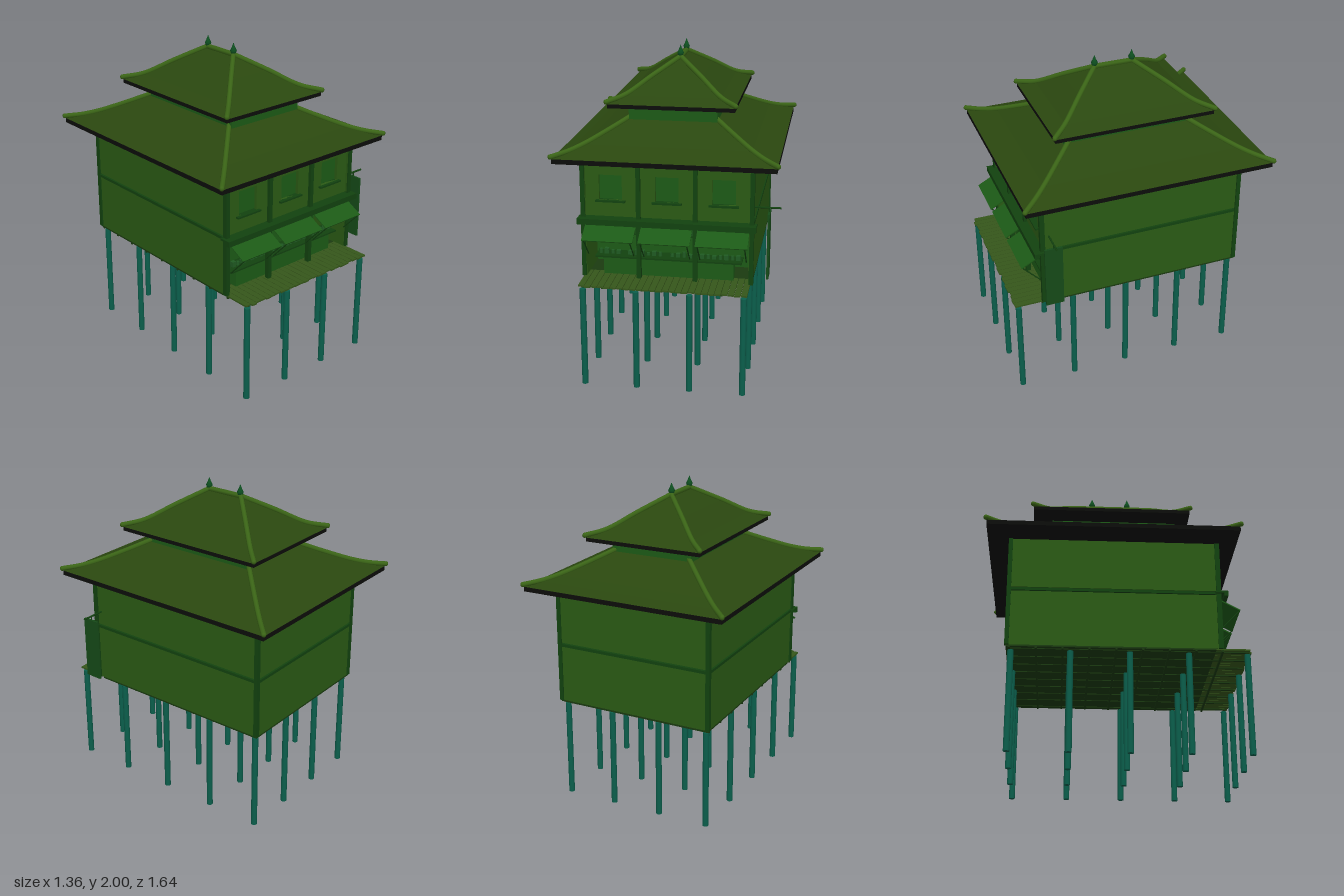
import * as THREE from 'three';

const mat = (color, side = THREE.FrontSide) => new THREE.MeshStandardMaterial({ color, side });
const M = {
  wall: mat(0x2a5a14), panel: mat(0x1c5a16), trim: mat(0x12420f), roof: mat(0x2a470f),
  eave: mat(0x0c0d0a), ridge: mat(0x3a6416), finial: mat(0x0e5020), post: mat(0x0b5f4c),
  floor: mat(0x1a3a10), plank: mat(0x35561a), goods: mat(0x1f5a22), board: mat(0x154a18),
};

function add(parent, name, geo, material, x = 0, y = 0, z = 0) {
  const m = new THREE.Mesh(geo, material);
  m.name = name;
  m.position.set(x, y, z);
  parent.add(m);
  return m;
}

// Box given by its two extents on every axis
function box(parent, name, material, [x0, x1], [y0, y1], [z0, z1]) {
  return add(parent, name, new THREE.BoxGeometry(x1 - x0, y1 - y0, z1 - z0), material,
    (x0 + x1) / 2, (y0 + y1) / 2, (z0 + z1) / 2);
}

// Straight round rod between two points
function rod(parent, name, material, a, b, r) {
  const curve = new THREE.LineCurve3(new THREE.Vector3(...a), new THREE.Vector3(...b));
  return add(parent, name, new THREE.TubeGeometry(curve, 1, r, 6), material);
}

function seeded(s) {
  return () => (s = (s * 16807) % 2147483647) / 2147483647;
}

// Every roof ring is a rectangle; its depth follows from its half width
const ZC = -0.02, EXTRA = 0.122;
const corner = (w, y, sx, sz) => new THREE.Vector3(sx * w, y, ZC + sz * (w + EXTRA));
const SIGNS = [[1, 1], [1, -1], [-1, -1], [-1, 1]];

// Hip roof surface lofted through [half width, height] rings
function hipSurface(profile) {
  const pos = [];
  const ring = ([w, y]) => SIGNS.map(([sx, sz]) => corner(w, y, sx, sz));
  const quad = (a, b, c, d) => [a, b, c, a, c, d].forEach(p => pos.push(p.x, p.y, p.z));
  for (let i = 0; i < profile.length - 1; i++) {
    const lo = ring(profile[i]), hi = ring(profile[i + 1]);
    for (let k = 0; k < 4; k++) {
      const n = (k + 1) % 4;
      quad(lo[k], lo[n], hi[n], hi[k]);
    }
  }
  quad(...ring(profile[profile.length - 1]));
  const g = new THREE.BufferGeometry();
  g.setAttribute('position', new THREE.Float32BufferAttribute(pos, 3));
  g.computeVertexNormals();
  return g;
}

function hipRoof(parent, name, profile, eaveBottom) {
  const g = new THREE.Group();
  g.name = name;
  parent.add(g);
  const [w, y] = profile[0], d = w + EXTRA;
  add(g, name + 'Surface', hipSurface(profile), M.roof);
  box(g, name + 'Eave', M.eave, [-w, w], [eaveBottom, y - 0.001], [ZC - d, ZC + d]);
  // Rounded hip ridges with lifted tips
  for (const [sx, sz] of SIGNS) {
    const pts = profile.map(([pw, py], i) => corner(pw + (i ? 0 : 0.004), py + (i ? 0.005 : 0.015), sx, sz));
    add(g, 'hipRidge', new THREE.TubeGeometry(new THREE.CatmullRomCurve3(pts), 20, 0.016, 8), M.ridge);
    const tip = add(g, 'hipTip', new THREE.SphereGeometry(0.016, 8, 6), M.ridge);
    tip.position.copy(pts[0]);
  }
  return g;
}

export function createModel() {
  const root = new THREE.Group();
  root.name = 'stiltShop';
  const F = 0.635, B = -0.66, W = 0.515;

  // Stilts
  const stilts = new THREE.Group();
  stilts.name = 'stilts';
  root.add(stilts);
  for (const x of [-0.488, -0.164, 0.161, 0.485])
    for (const z of [0.79, 0.437, 0.082, -0.275, -0.63])
      add(stilts, 'stilt', new THREE.CylinderGeometry(0.019, 0.019, 0.63, 10), M.post, x, 0.315, z);

  // Floor, joists and front deck
  box(root, 'floor', M.floor, [-W, W], [0.645, 0.655], [B, 0.6]);
  for (let i = 0; i < 9; i++) {
    const z = -0.64 + i * 0.16;
    box(root, 'crossJoist', M.floor, [-0.515, 0.505], [0.636, 0.647], [z - 0.006, z + 0.006]);
  }
  for (let i = 0; i < 9; i++) {
    const x = -0.485 + i * 0.12;
    box(root, 'longJoist', M.floor, [x - 0.006, x + 0.006], [0.64, 0.647], [-0.65, 0.8]);
  }
  const rnd = seeded(7);
  for (let i = 0; i < 26; i++) {
    const x = -0.512 + i * 0.0393;
    box(root, 'deckPlank', M.plank, [x, x + 0.036], [0.647, 0.657], [0.55, 0.805 + rnd() * 0.015]);
  }

  // Lower storey: side, rear and recessed walls
  for (const s of [-1, 1]) {
    const side = [s * 0.505 - 0.01, s * 0.505 + 0.01];
    box(root, 'lowerSideWall', M.wall, side, [0.655, 1.015], [B, F]);
    box(root, 'upperSideWall', M.wall, side, [1.042, 1.375], [B, F]);
    box(root, 'sideLedge', M.trim, [s * 0.507 - 0.014, s * 0.507 + 0.014], [1.018, 1.036], [B - 0.005, F]);
  }
  box(root, 'lowerRearWall', M.wall, [-W, W], [0.655, 1.015], [B, B + 0.02]);
  box(root, 'upperRearWall', M.wall, [-W, W], [1.042, 1.375], [B, B + 0.02]);
  box(root, 'rearLedge', M.trim, [-0.52, 0.52], [1.018, 1.036], [B - 0.006, B + 0.02]);
  box(root, 'shopBackWall', M.panel, [-0.5, 0.5], [0.655, 1.015], [0.34, 0.36]);
  box(root, 'upperFloor', M.trim, [-0.5, 0.5], [1.01, 1.03], [B, F]);
  box(root, 'ceiling', M.eave, [-0.5, 0.5], [1.36, 1.372], [B + 0.01, 0.6]);

  // Corner posts and front columns
  for (const x of [-0.511, -0.172, 0.172, 0.511])
    box(root, 'frontColumn', M.trim, [x - 0.013, x + 0.013], [0.655, 1.375], [0.615, 0.645]);
  for (const x of [-0.511, 0.511])
    box(root, 'rearPost', M.trim, [x - 0.013, x + 0.013], [0.655, 1.375], [-0.668, -0.642]);

  // Projecting beam between the storeys
  box(root, 'frontBeam', M.trim, [-0.54, 0.54], [1.0, 1.036], [0.66, 0.685]);
  box(root, 'beamShelf', M.trim, [-0.54, 0.54], [1.022, 1.036], [0.61, 0.67]);

  // Upper front wall with recessed windows and sills
  const wall = new THREE.Shape([[-0.5, 1.042], [0.5, 1.042], [0.5, 1.375], [-0.5, 1.375]]
    .map(p => new THREE.Vector2(...p)));
  for (const x of [-0.342, 0, 0.342]) {
    wall.holes.push(new THREE.Path([[-0.07, 1.145], [-0.07, 1.3], [0.07, 1.3], [0.07, 1.145]]
      .map(([px, py]) => new THREE.Vector2(x + px, py))));
    box(root, 'windowPane', M.panel, [x - 0.075, x + 0.075], [1.14, 1.305], [0.59, 0.602]);
    box(root, 'windowSill', M.trim, [x - 0.09, x + 0.09], [1.134, 1.145], [0.6, 0.645]);
  }
  add(root, 'upperFrontWall',
    new THREE.ExtrudeGeometry(wall, { depth: 0.02, bevelEnabled: false }), M.wall, 0, 0, 0.605);

  // Sloped awnings and their struts, one per bay
  for (const x of [-0.342, 0, 0.342]) {
    const awning = add(root, 'awning', new THREE.BoxGeometry(0.31, 0.007, 0.137), M.panel, x, 0.957, 0.7);
    awning.rotation.x = Math.atan2(0.065, 0.12);
    for (const s of [-1, 1])
      rod(root, 'awningStrut', M.trim, [x + s * 0.14, 0.925, 0.758], [x + s * 0.14, 0.8, 0.64], 0.004);
  }

  // Counter, shelves and goods
  box(root, 'counter', M.panel, [-0.4, 0.4], [0.657, 0.765], [0.51, 0.59]);
  box(root, 'counterTop', M.trim, [-0.45, 0.45], [0.765, 0.775], [0.49, 0.605]);
  box(root, 'shelf', M.trim, [-0.45, 0.45], [0.86, 0.867], [0.36, 0.44]);
  for (const [y, z] of [[0.775, 0.55], [0.867, 0.41]])
    for (let i = 0; i < 24; i++) {
      if (rnd() < 0.25) continue;
      const h = 0.016 + rnd() * 0.02, x = -0.425 + i * 0.037;
      const geo = i % 2 ? new THREE.BoxGeometry(0.026, h, 0.026) : new THREE.CylinderGeometry(0.01, 0.012, h, 8);
      add(root, 'goods', geo, M.goods, x, y + h / 2, z);
    }

  // Hanging sign on the left side
  rod(root, 'signBracket', M.trim, [0.51, 1.133, 0.588], [0.678, 1.133, 0.588], 0.006);
  box(root, 'signBoard', M.board, [0.602, 0.615], [0.7, 1.107], [0.535, 0.647]);
  rod(root, 'signHanger', M.trim, [0.608, 1.1, 0.588], [0.608, 1.135, 0.588], 0.004);

  // Two-tier roof
  hipRoof(root, 'lowerRoof', [[0.66, 1.422], [0.58, 1.448], [0.5, 1.476], [0.38, 1.535], [0.25, 1.605], [0.12, 1.68]], 1.393);
  box(root, 'roofCollar', M.panel, [-0.27, 0.27], [1.59, 1.66], [-0.405, 0.4]);
  hipRoof(root, 'upperRoof', [[0.384, 1.697], [0.29, 1.735], [0.15, 1.828], [0.001, 1.922]], 1.673);

  // Ridge beam and pointed finials
  rod(root, 'ridgeBeam', M.ridge, [0, 1.926, 0.115], [0, 1.926, -0.15], 0.018);
  const finial = new THREE.LatheGeometry([[0.001, 0], [0.014, 0], [0.021, 0.022], [0.012, 0.04], [0.004, 0.06], [0.0005, 0.07]]
    .map(p => new THREE.Vector2(...p)), 12);
  for (const z of [0.103, -0.138]) add(root, 'finial', finial, M.finial, 0, 1.93, z);

  return root;
}
